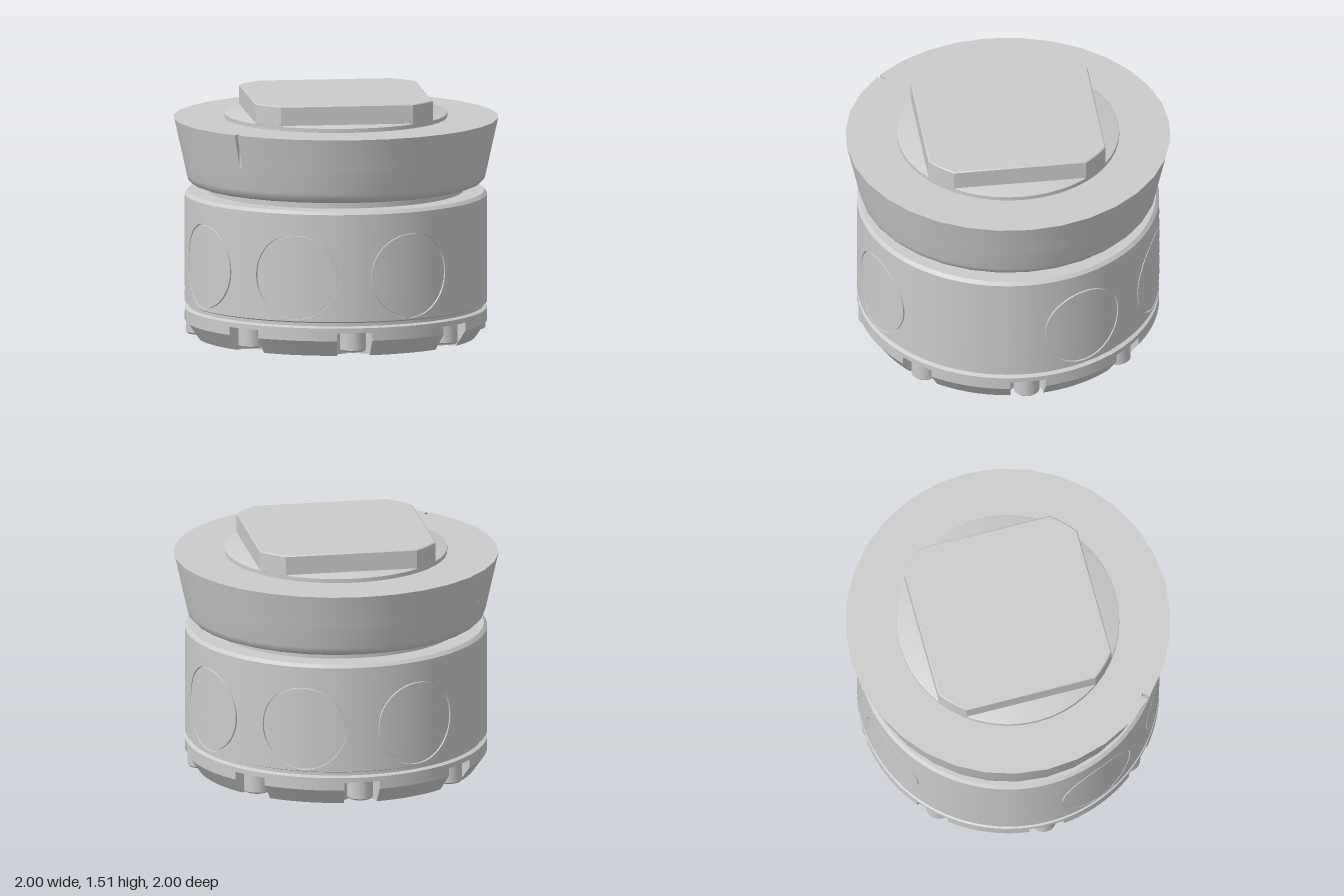
import * as THREE from 'three';
import { toCreasedNormals } from 'three/addons/utils/BufferGeometryUtils.js';

const mat = new THREE.MeshStandardMaterial({ color: 0xcccccc, side: THREE.DoubleSide });
const R = 0.93; // body radius

function add(parent, name, geo, crease = 0.5) {
  const mesh = new THREE.Mesh(toCreasedNormals(geo, crease), mat);
  mesh.name = name;
  parent.add(mesh);
  return mesh;
}

function lathe(points, segments, start = 0, length = Math.PI * 2) {
  return new THREE.LatheGeometry(points.map(([r, y]) => new THREE.Vector2(r, y)), segments, start, length);
}

// Chamfered base ring with eight open U slots, six small holes and a central bore
function baseRing() {
  const slotR = 0.11, slotC = 0.86, edge = Math.asin(slotR / R), pts = [];
  const put = (r, w, a) => pts.push(new THREE.Vector2(
    r * Math.cos(a) - w * Math.sin(a), r * Math.sin(a) + w * Math.cos(a)));
  for (let k = 0; k < 8; k++) {
    const a = k * Math.PI / 4;
    put(R * Math.cos(edge), -slotR, a);
    for (let i = 0; i <= 14; i++) {
      const t = -Math.PI / 2 + i / 14 * Math.PI;
      put(slotC - slotR * Math.cos(t), slotR * Math.sin(t), a);
    }
    for (let i = 0; i < 10; i++) put(R, 0, a + edge + i / 10 * (Math.PI / 4 - 2 * edge));
  }
  const shape = new THREE.Shape(pts);
  const hole = (x, y, r) => shape.holes.push(new THREE.Path().absarc(x, y, r, 0, Math.PI * 2, true));
  hole(0, 0, 0.31);
  for (const d of [45, 90, 135, 225, 270, 315]) {
    const a = d * Math.PI / 180;
    hole(0.62 * Math.sin(a), -0.62 * Math.cos(a), 0.036);
  }
  const geo = new THREE.ExtrudeGeometry(shape, { depth: 0.15, steps: 3, bevelEnabled: false, curveSegments: 24 });
  geo.rotateX(-Math.PI / 2);
  // Chamfer the outer rim and the bore by limiting the radius with height
  const p = geo.attributes.position;
  for (let i = 0; i < p.count; i++) {
    const x = p.getX(i), y = p.getY(i), z = p.getZ(i), r = Math.hypot(x, z);
    const f = r < 0.4 ? Math.max(r, 0.365 - 1.1 * y) / r : Math.min(r, 0.86 + 0.7 * y) / r;
    p.setXYZ(i, x * f, y, z * f);
  }
  return geo;
}

// One eighth of the body wall, with a round plug outlined by a groove
function wallPanel(center, y0, y1, depth) {
  const side = 16, n = side * 4, cy = 0.495, pos = [], index = [];
  const rings = [0, 0.06, 0.12, 0.18, 0.23, 0.255].map(c => [c, 0, R]);
  rings.push([0.256, 0, R - depth], [0.264, 0, R - depth]);
  for (let i = 0; i <= 5; i++) rings.push([0.265, i / 5, R]);
  for (const [c, blend, rad] of rings) {
    for (let j = 0; j <= n; j++) {
      const k = Math.floor(j / side) % 4, s = (j % side) / side * 2 - 1;
      const [px, py] = [[1, s], [-s, 1], [-1, -s], [s, -1]][k];
      const t = Math.atan2(py, px);
      const a = THREE.MathUtils.lerp(Math.asin(c * Math.cos(t) / R), px * Math.PI / 8, blend) + center;
      const y = THREE.MathUtils.lerp(cy + c * Math.sin(t), (y0 + y1) / 2 + py * (y1 - y0) / 2, blend);
      pos.push(rad * Math.sin(a), y, rad * Math.cos(a));
    }
  }
  for (let i = 0; i < rings.length - 1; i++) {
    for (let j = 0; j < n; j++) {
      const a = i * (n + 1) + j, b = a + n + 1;
      index.push(a, b, b + 1, a, b + 1, a + 1);
    }
  }
  const geo = new THREE.BufferGeometry();
  geo.setAttribute('position', new THREE.Float32BufferAttribute(pos, 3));
  geo.setIndex(index);
  geo.computeVertexNormals();
  return geo;
}

export function createModel() {
  const model = new THREE.Group();
  model.name = 'knob';

  // Base with pins standing in the slots
  add(model, 'baseRing', baseRing());
  const pins = new THREE.Group();
  pins.name = 'pins';
  model.add(pins);
  for (let k = 0; k < 8; k++) {
    const a = k * Math.PI / 4;
    const pin = add(pins, 'pin', lathe([[0, 0.03], [0.07, 0.03], [0.08, 0.04], [0.08, 0.15]], 24));
    pin.position.set(0.848 * Math.sin(a), 0, 0.848 * Math.cos(a));
  }

  // Body: grooved foot, panelled wall, chamfered shoulder and neck
  add(model, 'bodyFoot', lathe([[0, 0.25], [0.31, 0.25], [0.31, 0.15], [R, 0.15], [R, 0.18],
    [0.905, 0.19], [0.905, 0.21], [R, 0.22]], 128));
  const wall = new THREE.Group();
  wall.name = 'bodyWall';
  model.add(wall);
  for (let k = 0; k < 8; k++) {
    const plain = k === 2 || k === 6;
    add(wall, plain ? 'plainPanel' : 'plugPanel',
      wallPanel((k + 0.5) * Math.PI / 4, 0.22, 0.885, plain ? 0 : 0.012));
  }
  add(model, 'shoulderAndNeck', lathe([[R, 0.885], [0.91, 0.905], [0.785, 0.905], [0.785, 0.96]], 128));

  // Flared collar with a thin index notch at the front
  const g = 0.011, split = 1.15, rs = 0.953;
  add(model, 'collarLower', lathe([[0.7, 0.95], [0.86, 0.95], [0.895, 0.963], [0.915, 0.985],
    [0.923, 1.01], [rs, split]], 32));
  add(model, 'collarUpper', lathe([[rs, split], [1, 1.36], [0, 1.36]], 32, g, Math.PI * 2 - 2 * g));
  add(model, 'notchBack', lathe([[rs, split], [rs, 1.36], [0, 1.36]], 1, -g, 2 * g));
  const cheek = new THREE.Shape([[rs, split], [1, 1.36], [rs, 1.36]].map(q => new THREE.Vector2(...q)));
  for (const s of [-1, 1]) {
    add(model, 'notchSide', new THREE.ShapeGeometry(cheek)).rotation.y = -Math.PI / 2 + s * g;
  }

  // Top disc and the square drive plate with clipped corners
  add(model, 'topDisc', lathe([[0.685, 1.35], [0.685, 1.385], [0.675, 1.39], [0, 1.39]], 48));
  const corners = [];
  for (let k = 0; k < 4; k++) {
    for (let i = -2; i <= 2; i++) {
      const a = k * Math.PI / 2 + i / 2 * 0.145;
      corners.push(new THREE.Vector2(0.685 * Math.cos(a), 0.685 * Math.sin(a)));
    }
  }
  const plate = new THREE.ExtrudeGeometry(new THREE.Shape(corners), {
    depth: 0.12, bevelEnabled: true, bevelThickness: 0.006, bevelSize: 0.006, bevelOffset: -0.006, bevelSegments: 1 });
  plate.rotateX(-Math.PI / 2).translate(0, 1.384, 0);
  add(model, 'drivePlate', plate);

  return model;
}
